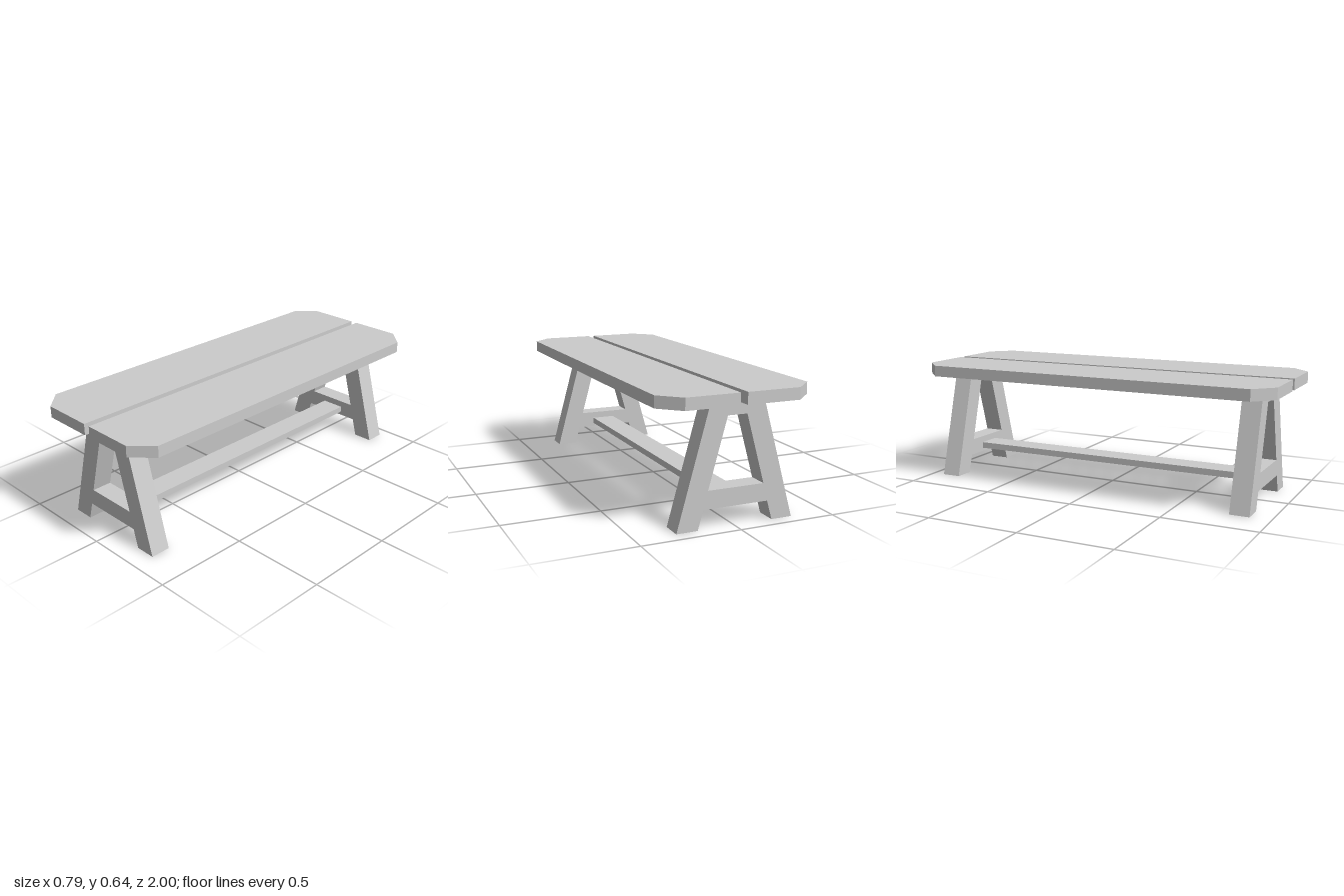
import * as THREE from 'three';

const material = new THREE.MeshStandardMaterial({ color: 0xcccccc, flatShading: true });

const toShape = (points) => new THREE.Shape(points.map(([x, y]) => new THREE.Vector2(x, y)));
const extrude = (shape, depth) => new THREE.ExtrudeGeometry(shape, { depth, bevelEnabled: false });

function addPart(group, name, geometry, x = 0, y = 0, z = 0) {
  const mesh = new THREE.Mesh(geometry, material);
  mesh.name = name;
  mesh.position.set(x, y, z);
  group.add(mesh);
}

// One half of the top: a plank with its two outer corners cut off
function plankGeometry(side) {
  const outline = [[0.018, -1], [0.291, -1], [0.393, -0.9], [0.393, 0.9], [0.291, 1], [0.018, 1]];
  const shape = toShape(outline.map(([x, z]) => [side * x, z]));
  return extrude(shape, 0.059).rotateX(Math.PI / 2);
}

// A-shaped trestle: splayed legs, top block and crossbar
function trestleGeometry() {
  const shape = toShape([
    [-0.303, 0], [-0.195, 0], [-0.168, 0.096], [0.168, 0.096],
    [0.195, 0], [0.303, 0], [0.141, 0.583], [-0.141, 0.583],
  ]);
  shape.holes.push(toShape([[-0.145, 0.185], [-0.05, 0.527], [0.05, 0.527], [0.145, 0.185]]));
  return extrude(shape, 0.104);
}

export function createModel() {
  const model = new THREE.Group();
  model.name = 'trestleTable';

  // Table top
  addPart(model, 'leftPlank', plankGeometry(1), 0, 0.642, 0);
  addPart(model, 'rightPlank', plankGeometry(-1), 0, 0.642, 0);

  // Trestles, the back one set slightly further out
  addPart(model, 'frontTrestle', trestleGeometry(), -0.005, 0, 0.786);
  addPart(model, 'backTrestle', trestleGeometry(), -0.005, 0, -0.934);

  // Flat stretcher board between the crossbars
  addPart(model, 'stretcher', new THREE.BoxGeometry(0.13, 0.034, 1.618), 0.003, 0.132, -0.022);

  return model;
}
